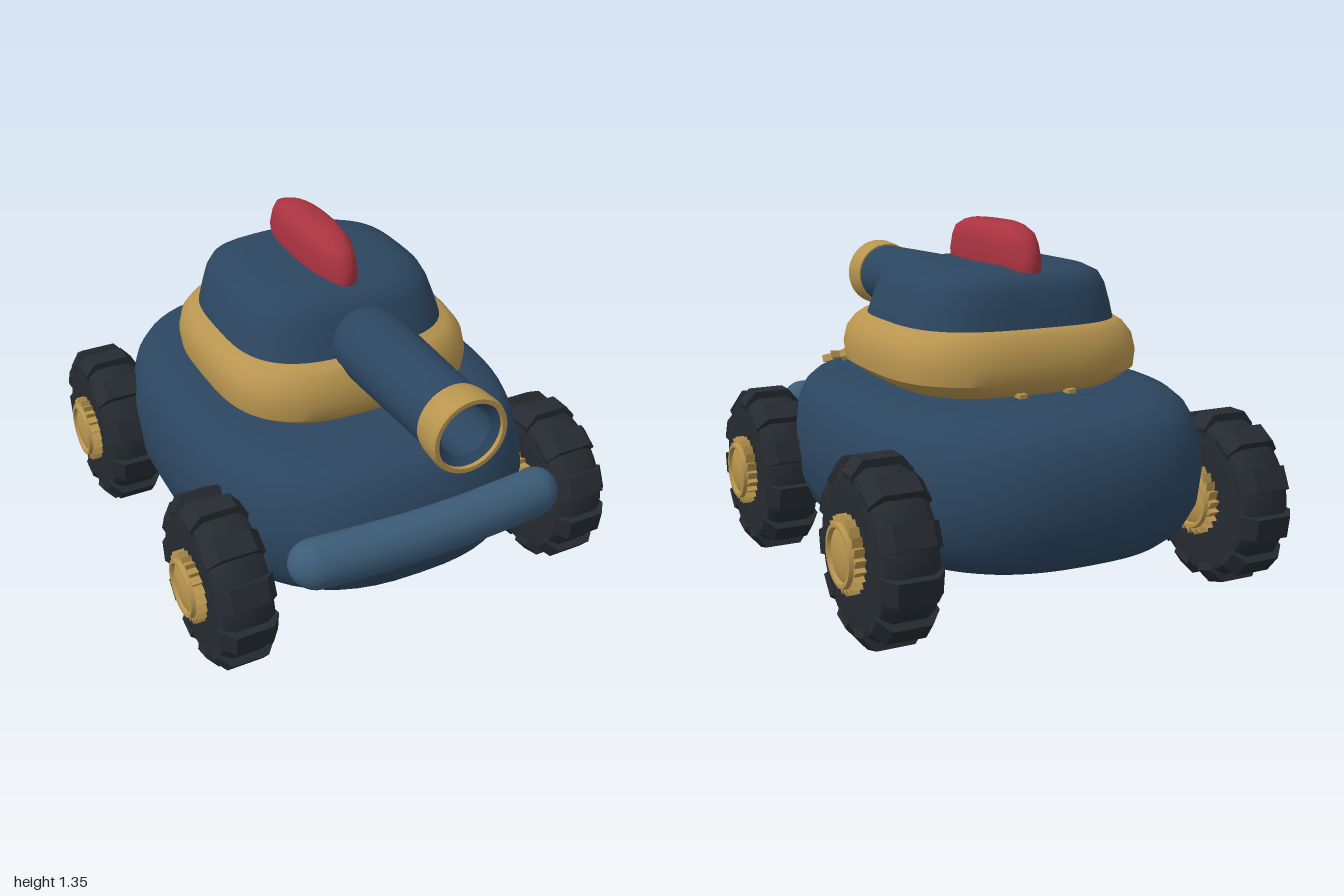
import * as THREE from 'three';
import { toCreasedNormals } from 'three/addons/utils/BufferGeometryUtils.js';

const mat = (color) => new THREE.MeshStandardMaterial({ color });
const V = (x, y) => new THREE.Vector2(x, y);

// Stacked superellipse rings: [y, halfWidth, frontZ, rearZ], bottom to top, capped at both ends
function loft(rings, power, crease = 0.8, seg = 64) {
  const pos = [], index = [], n = rings.length;
  const bend = (v) => Math.sign(v) * Math.pow(Math.abs(v), 2 / power);
  for (const [y, hx, front, rear] of rings) {
    for (let j = 0; j < seg; j++) {
      const a = (j / seg) * Math.PI * 2;
      pos.push(hx * bend(Math.cos(a)), y, (front + rear) / 2 + ((front - rear) / 2) * bend(Math.sin(a)));
    }
  }
  for (const [y, , front, rear] of [rings[0], rings[n - 1]]) pos.push(0, y, (front + rear) / 2);
  const low = n * seg, high = low + 1;
  for (let j = 0; j < seg; j++) {
    const k = (j + 1) % seg;
    for (let i = 0; i < n - 1; i++) {
      const a = i * seg + j, b = i * seg + k;
      index.push(a, a + seg, b, b, a + seg, b + seg);
    }
    index.push(low, j, k, high, (n - 1) * seg + k, (n - 1) * seg + j);
  }
  const g = new THREE.BufferGeometry();
  g.setAttribute('position', new THREE.Float32BufferAttribute(pos, 3));
  g.setIndex(index);
  return toCreasedNormals(g, crease);
}

const lathe = (points, seg = 40) =>
  toCreasedNormals(new THREE.LatheGeometry(points.map(([r, y]) => V(r, y)), seg), 0.6);

const extrude = (points, depth) =>
  new THREE.ExtrudeGeometry(new THREE.Shape(points.map(([x, y]) => V(x, y))), { depth, bevelEnabled: false })
    .translate(0, 0, -depth / 2);

// Points alternating between an outer and an inner radius; skew leans the teeth
function teeth(count, outer, inner, skew = 0.5) {
  const pts = [];
  for (let i = 0; i < count; i++) {
    const a = (i / count) * Math.PI * 2 + Math.PI / 2, b = a + (skew * Math.PI * 2) / count;
    pts.push([outer * Math.cos(a), outer * Math.sin(a)], [inner * Math.cos(b), inner * Math.sin(b)]);
  }
  return pts;
}

export function createModel() {
  const model = new THREE.Group();
  model.name = 'toyTank';
  const blue = mat(0x2c4660), lightBlue = mat(0x3c5c78), gold = mat(0xb8954f);
  const red = mat(0xaa3340), rubber = mat(0x262b31);

  const add = (parent, name, geometry, material) => {
    const mesh = new THREE.Mesh(geometry, material);
    mesh.name = name;
    parent.add(mesh);
    return mesh;
  };

  // Hull
  add(model, 'hull', loft([
    [0.22, 0.59, 0.66, -0.87], [0.27, 0.645, 0.73, -0.93], [0.36, 0.68, 0.775, -0.98],
    [0.48, 0.69, 0.785, -0.995], [0.57, 0.685, 0.77, -0.98], [0.65, 0.667, 0.73, -0.95],
    [0.70, 0.645, 0.70, -0.91], [0.735, 0.61, 0.655, -0.85], [0.755, 0.53, 0.56, -0.74],
    [0.762, 0.40, 0.42, -0.58],
  ], 2.6), blue);
  add(model, 'rearPanel', loft([
    [0.73, 0.22, -0.58, -0.73], [0.755, 0.21, -0.58, -0.72], [0.764, 0.18, -0.58, -0.69],
  ], 3.5), blue);

  // Front bumper, a bar swept slightly back at its ends
  const bar = new THREE.CapsuleGeometry(0.094, 0.91, 8, 20, 16).rotateZ(Math.PI / 2);
  const p = bar.attributes.position;
  for (let i = 0; i < p.count; i++) p.setZ(i, p.getZ(i) * 0.95 - 0.12 * p.getX(i) ** 2);
  bar.computeVertexNormals();
  add(model, 'bumper', bar, lightBlue).position.set(0, 0.515, 0.796);

  // Turret
  const turret = new THREE.Group();
  turret.name = 'turret';
  model.add(turret);
  add(turret, 'turretRing', loft([
    [0.75, 0.39, 0.32, -0.51], [0.775, 0.435, 0.355, -0.55], [0.82, 0.50, 0.405, -0.597],
    [0.88, 0.507, 0.41, -0.60], [0.94, 0.495, 0.395, -0.585], [0.98, 0.465, 0.37, -0.56],
    [1.0, 0.435, 0.35, -0.54],
  ], 3.2), gold);
  add(turret, 'turretTop', loft([
    [0.99, 0.43, 0.305, -0.523], [1.06, 0.413, 0.275, -0.51], [1.13, 0.392, 0.24, -0.495],
    [1.17, 0.37, 0.215, -0.475], [1.195, 0.32, 0.17, -0.43], [1.21, 0.25, 0.10, -0.36],
  ], 3.2), blue);
  add(turret, 'crest', loft([
    [1.19, 0.086, 0.155, -0.465], [1.23, 0.09, 0.16, -0.47], [1.29, 0.087, 0.14, -0.445],
    [1.325, 0.08, 0.115, -0.42], [1.35, 0.064, 0.05, -0.355], [1.36, 0.045, 0.0, -0.31],
  ], 2.3), red);

  // Gun barrel with a gold muzzle and a hollow bore
  const gun = new THREE.Group();
  gun.name = 'gun';
  gun.position.y = 1.04;
  turret.add(gun);
  add(gun, 'barrel', lathe([
    [0, 0.24], [0.11, 0.24], [0.13, 0.27], [0.14, 0.32], [0.14, 0.40], [0.128, 0.89],
  ]).rotateX(Math.PI / 2), blue);
  add(gun, 'muzzle', lathe([
    [0.12, 0.88], [0.134, 0.88], [0.14, 0.91], [0.144, 0.985], [0.138, 1.0], [0.122, 1.0], [0.12, 0.97],
  ]).rotateX(Math.PI / 2), gold);
  add(gun, 'bore', lathe([[0.121, 0.985], [0.095, 0.965], [0.093, 0.75], [0, 0.75]]).rotateX(Math.PI / 2), blue);

  // Hull ornaments: star and small crown on the front left, two studs behind the turret
  const star = add(model, 'star', extrude(teeth(7, 0.08, 0.042), 0.03), gold);
  star.position.set(0.335, 0.738, 0.603);
  star.rotation.x = -Math.PI / 2 + 0.45;
  const crown = add(model, 'crown', extrude([
    [-0.05, -0.02], [0.05, -0.02], [0.065, 0.025], [0.03, 0.002], [0, 0.025], [-0.03, 0.002], [-0.065, 0.025],
  ], 0.03), gold);
  crown.position.set(0.335, 0.76, 0.435);
  crown.rotation.x = -Math.PI / 2;
  for (const s of [-1, 1]) {
    add(model, 'rearStud', new THREE.BoxGeometry(0.03, 0.03, 0.04), gold).position.set(s * 0.1, 0.763, -0.555);
  }

  // Wheels
  const tyreGeo = lathe([
    [0.08, -0.095], [0.15, -0.1], [0.25, -0.105], [0.275, -0.098], [0.3, -0.06],
    [0.3, 0.06], [0.275, 0.098], [0.25, 0.105], [0.15, 0.1], [0.08, 0.095],
  ], 44).rotateZ(-Math.PI / 2);
  const lugGeo = extrude([
    [-0.1, 0.23], [0.1, 0.23], [0.111, 0.275], [0.07, 0.325], [-0.07, 0.325], [-0.111, 0.275],
  ], 0.085);
  const sawGeo = extrude(teeth(22, 0.136, 0.112, 0.15), 0.27).rotateY(Math.PI / 2);
  const hubGeo = lathe([
    [0, -0.152], [0.05, -0.149], [0.08, -0.141], [0.09, -0.136], [0.095, -0.15], [0.108, -0.15], [0.114, -0.13],
    [0.114, 0.13], [0.108, 0.15], [0.095, 0.15], [0.09, 0.136], [0.08, 0.141], [0.05, 0.149], [0, 0.152],
  ]).rotateZ(-Math.PI / 2);
  for (const [end, z] of [['front', 0.476], ['rear', -0.672]]) {
    for (const [side, s] of [['Left', 1], ['Right', -1]]) {
      const wheel = new THREE.Group();
      wheel.name = end + side + 'Wheel';
      wheel.position.set(s * 0.7, 0.33, z);
      model.add(wheel);
      add(wheel, 'tyre', tyreGeo, rubber);
      for (let i = 0; i < 11; i++) add(wheel, 'treadLug', lugGeo, rubber).rotation.x = (i / 11) * Math.PI * 2;
      add(wheel, 'toothedRim', sawGeo, gold);
      add(wheel, 'hub', hubGeo, gold);
    }
  }
  return model;
}
